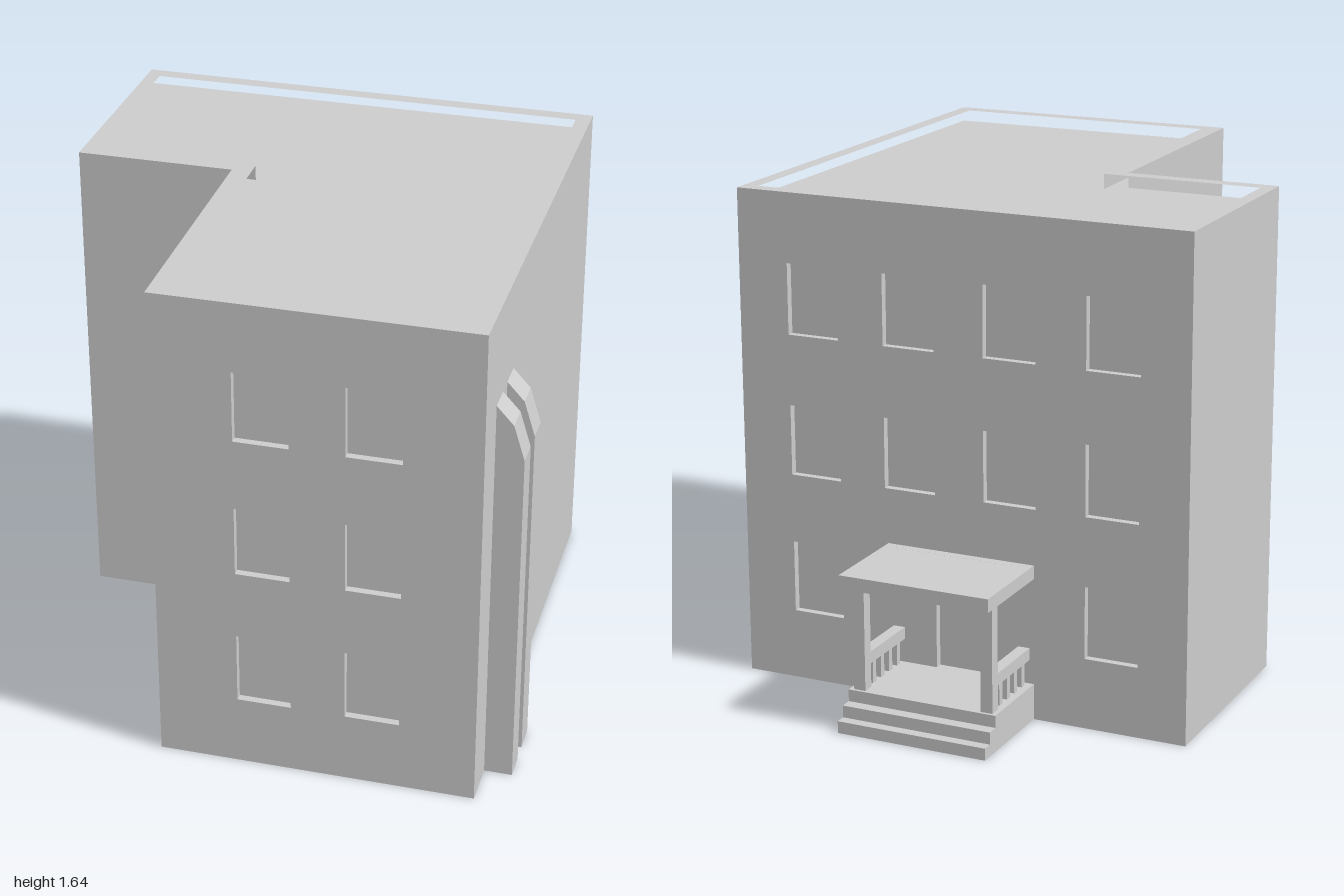
import * as THREE from 'three';

const material = new THREE.MeshStandardMaterial({ color: 0xcccccc, flatShading: true });
const HEIGHT = 1.64, ROOF = 1.59, RECESS = 0.025;

function add(parent, name, geometry) {
  const mesh = new THREE.Mesh(geometry, material);
  mesh.name = name;
  parent.add(mesh);
  return mesh;
}

// Box given by its limits on each axis
function box(parent, name, [x0, x1], [y0, y1], [z0, z1]) {
  const mesh = add(parent, name, new THREE.BoxGeometry(x1 - x0, y1 - y0, z1 - z0));
  mesh.position.set((x0 + x1) / 2, (y0 + y1) / 2, (z0 + z1) / 2);
  return mesh;
}

const toVectors = (pts) => pts.map(([x, y]) => new THREE.Vector2(x, y));
const rect = (x0, x1, y0, y1) => [[x0, y0], [x1, y0], [x1, y1], [x0, y1]];

function extrude(outline, holes, depth) {
  const shape = new THREE.Shape(toVectors(outline));
  for (const h of holes) shape.holes.push(new THREE.Path(toVectors(h)));
  return new THREE.ExtrudeGeometry(shape, { depth, bevelEnabled: false });
}

// Floor plan [x, z] raised from y0 to y1
function raise(plan, holes, y0, y1) {
  const flip = (pts) => pts.map(([x, z]) => [x, -z]);
  return extrude(flip(plan), holes.map(flip), y1 - y0).rotateX(-Math.PI / 2).translate(0, y0, 0);
}

const planL = (back, front) => [
  [-0.83, back], [0.73, back], [0.73, front], [-0.30, front], [-0.31, 0.10], [-0.83, 0.10],
];
const parapetInner = [
  [-0.785, -0.59], [0.68, -0.59], [0.68, 0.945], [-0.235, 0.945], [-0.245, 0.05], [-0.785, 0.05],
];

const rows = [[0.235, 0.475], [0.705, 0.94], [1.175, 1.41]];

function createBuilding() {
  const g = new THREE.Group();
  g.name = 'building';
  // Core, set back behind the two windowed facades
  add(g, 'body', raise(planL(-0.64 + RECESS, 1 - RECESS), [], 0, ROOF));
  add(g, 'parapet', raise(planL(-0.64, 1), [parapetInner], ROOF, HEIGHT));

  // Front facade: two columns of windows
  const frontHoles = [];
  for (const [y0, y1] of rows)
    for (const x of [-0.04, 0.31]) frontHoles.push(rect(x, x + 0.175, y0, y1));
  add(g, 'frontFacade', extrude(rect(-0.30, 0.73, 0, ROOF), frontHoles, RECESS))
    .position.z = 1 - RECESS;

  // Back facade: four columns, with the door between the outer windows below
  const backHoles = [rect(-0.14, 0.035, 0.12, 0.42)];
  rows.forEach(([y0, y1], row) => {
    [-0.665, -0.315, 0.035, 0.375].forEach((x, col) => {
      if (row === 0 && (col === 1 || col === 2)) return;
      backHoles.push(rect(x, x + 0.18, y0, y1));
    });
  });
  add(g, 'backFacade', extrude(rect(-0.83, 0.73, 0, ROOF), backHoles, RECESS))
    .position.z = -0.64;
  return g;
}

function createPorch() {
  const g = new THREE.Group();
  g.name = 'porch';
  const wide = [-0.31, 0.205], wall = -0.64;
  // Floor and steps
  [-1, -0.965, -0.925].forEach((z, i) =>
    box(g, i === 2 ? 'porchFloor' : 'step', wide, [i * 0.04, (i + 1) * 0.04], [z, wall]));
  // Canopy with a shallow raised rim
  box(g, 'canopy', wide, [0.475, 0.508], [-0.975, wall]);
  const rim = rect(-0.31, 0.205, -0.975, wall);
  add(g, 'canopyRim', raise(rim, [rect(-0.275, 0.17, -0.94, -0.67)], 0.508, 0.52));
  // Posts, handrails and balusters on both sides
  for (const x of [-0.275, 0.17]) {
    box(g, 'post', [x - 0.02, x + 0.02], [0.12, 0.475], [-0.915, -0.875]);
    box(g, 'handrail', [x - 0.02, x + 0.02], [0.20, 0.24], [-0.875, wall]);
    for (let i = 0; i < 4; i++) {
      const z = -0.67 - i * 0.055;
      box(g, 'baluster', [x - 0.011, x + 0.011], [0.12, 0.20], [z - 0.011, z + 0.011]);
    }
  }
  return g;
}

function createFlues() {
  const g = new THREE.Group();
  g.name = 'flues';
  const profile = [[0.73, 0], [0.82, 0], [0.82, 1.155], [0.785, 1.27], [0.73, 1.33]];
  for (const z of [0.608, 0.76])
    add(g, 'flue', extrude(profile, [], 0.09)).position.z = z;
  return g;
}

export function createModel() {
  const model = new THREE.Group();
  model.name = 'apartmentBlock';
  model.add(createBuilding(), createPorch(), createFlues());
  return model;
}
